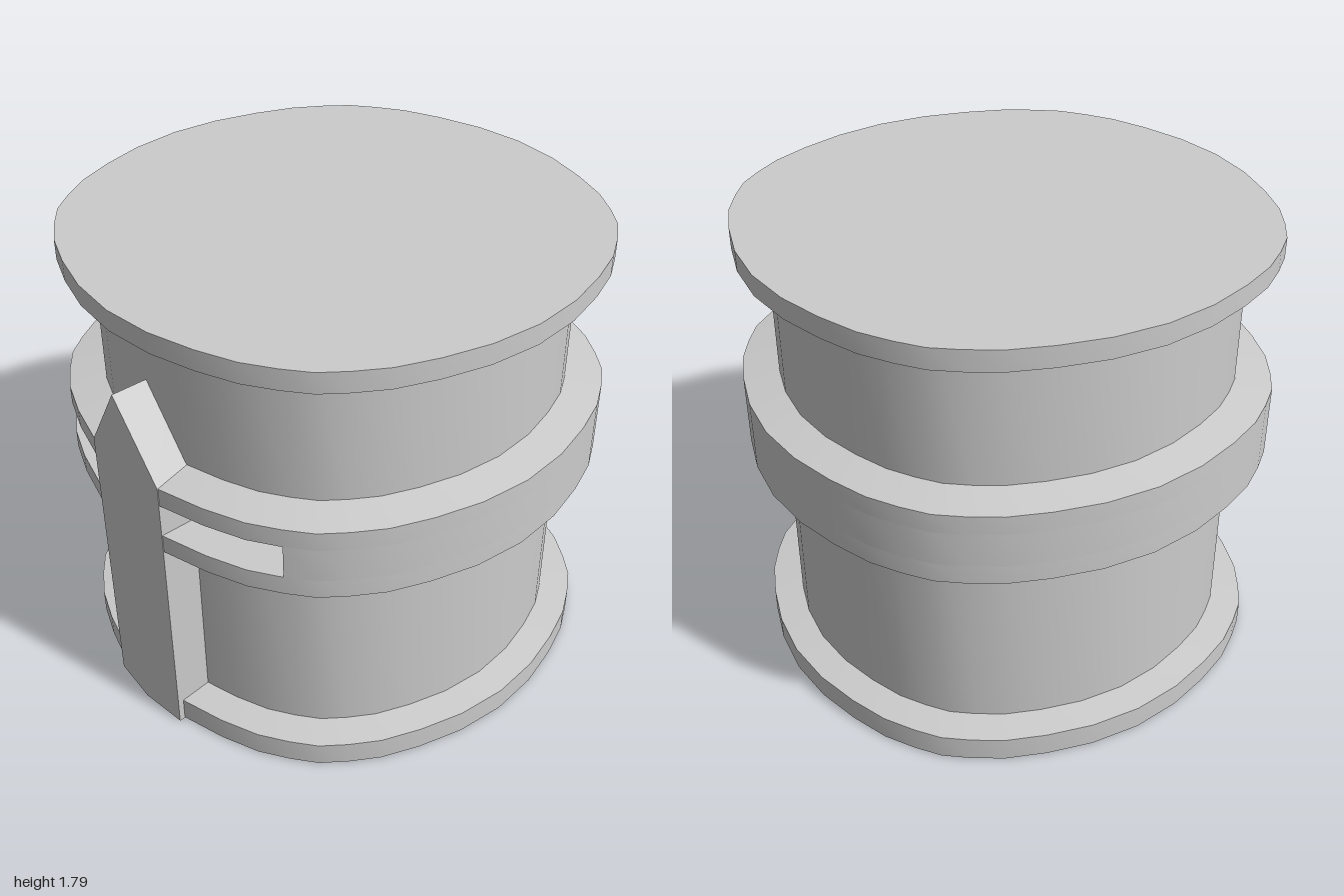
import * as THREE from 'three';
import { toCreasedNormals } from 'three/addons/utils/BufferGeometryUtils.js';

const material = new THREE.MeshStandardMaterial({ color: 0xcccccc });

// Rounded-square plan outline: one eighth, mirrored and turned into 40 points [x, z]
const eighth = [[0, 1], [0.2, 0.98], [0.38, 0.93], [0.53, 0.87], [0.64, 0.8], [0.73, 0.73]];
const outline = [];
for (let q = 0; q < 4; q++) {
  for (let i = 0; i < 10; i++) {
    let [x, z] = i <= 5 ? eighth[i] : [eighth[10 - i][1], eighth[10 - i][0]];
    for (let t = 0; t < q; t++) [x, z] = [z, -x];
    outline.push([x, z]);
  }
}

// Sweeps a [scale, y] profile round the outline, from one outline index to another
function sweep(profile, from = 0, to = 40) {
  const pos = [];
  const at = (i, [s, y]) => [outline[i % 40][0] * s, y, outline[i % 40][1] * s];
  const tri = (...corners) => corners.forEach((c) => pos.push(...c));
  for (let i = from; i < to; i++) {
    for (let j = 0; j < profile.length - 1; j++) {
      const p = profile[j], q = profile[j + 1];
      if (p[0] > 0) tri(at(i, p), at(i + 1, p), at(i, q));
      if (q[0] > 0) tri(at(i + 1, q), at(i, q), at(i + 1, p));
    }
  }
  // End walls of an open sweep
  if (to - from < 40) {
    for (let j = 1; j < profile.length - 2; j++) {
      tri(at(from, profile[0]), at(from, profile[j]), at(from, profile[j + 1]));
      tri(at(to, profile[0]), at(to, profile[j + 1]), at(to, profile[j]));
    }
  }
  const geometry = new THREE.BufferGeometry();
  geometry.setAttribute('position', new THREE.Float32BufferAttribute(pos, 3));
  return toCreasedNormals(geometry, 0.5);
}

export function createModel() {
  const group = new THREE.Group();
  const add = (name, geometry) => {
    const mesh = new THREE.Mesh(geometry, material);
    mesh.name = name;
    group.add(mesh);
  };

  const inner = 0.82, body = 0.863, slotLow = 0.955, slotHigh = 1.09;

  // Foot ring, lower wall and lower part of the band
  add('lowerBody', sweep([
    [inner, 0.004], [0.98, 0.004], [0.98, 0.1], [body, 0.115], [body, 0.855],
    [1, 0.88], [1, slotLow], [inner, slotLow], [inner, 0.004],
  ]));

  // Middle of the band, left open at the front for the slots
  add('slottedBand', sweep([
    [inner, slotLow], [1, slotLow], [1, slotHigh], [inner, slotHigh], [inner, slotLow],
  ], 4, 36));

  // Upper part of the band, upper wall and closed lid
  add('upperBody', sweep([
    [0, 1.69], [inner, 1.69], [inner, slotHigh], [1, slotHigh], [1, 1.165], [body, 1.19],
    [body, 1.69], [0.985, 1.71], [0.985, 1.79], [0, 1.79],
  ]));

  // Pointed front post, made as two mirrored halves with a slightly peaked face
  for (const side of [1, -1]) {
    const half = new THREE.Shape([[0, 0], [0.195, 0], [0.195, 1.165], [0, 1.465]]
      .map(([x, y]) => new THREE.Vector2(side * x, y)));
    const geometry = new THREE.ExtrudeGeometry(half, { depth: 0.24, bevelEnabled: false });
    const p = geometry.attributes.position;
    for (let i = 0; i < p.count; i++) {
      p.setZ(i, p.getZ(i) > 0.1 ? 1.003 - 0.1 * Math.abs(p.getX(i)) : 0.76);
    }
    geometry.computeVertexNormals();
    add(side > 0 ? 'leftPostHalf' : 'rightPostHalf', geometry);
  }

  // Flat backing behind the post, inside the wall
  const backing = new THREE.BoxGeometry(0.6, 0.94, 0.04);
  backing.translate(0, 0.474, 0.775);
  add('postBacking', backing);

  return group;
}
